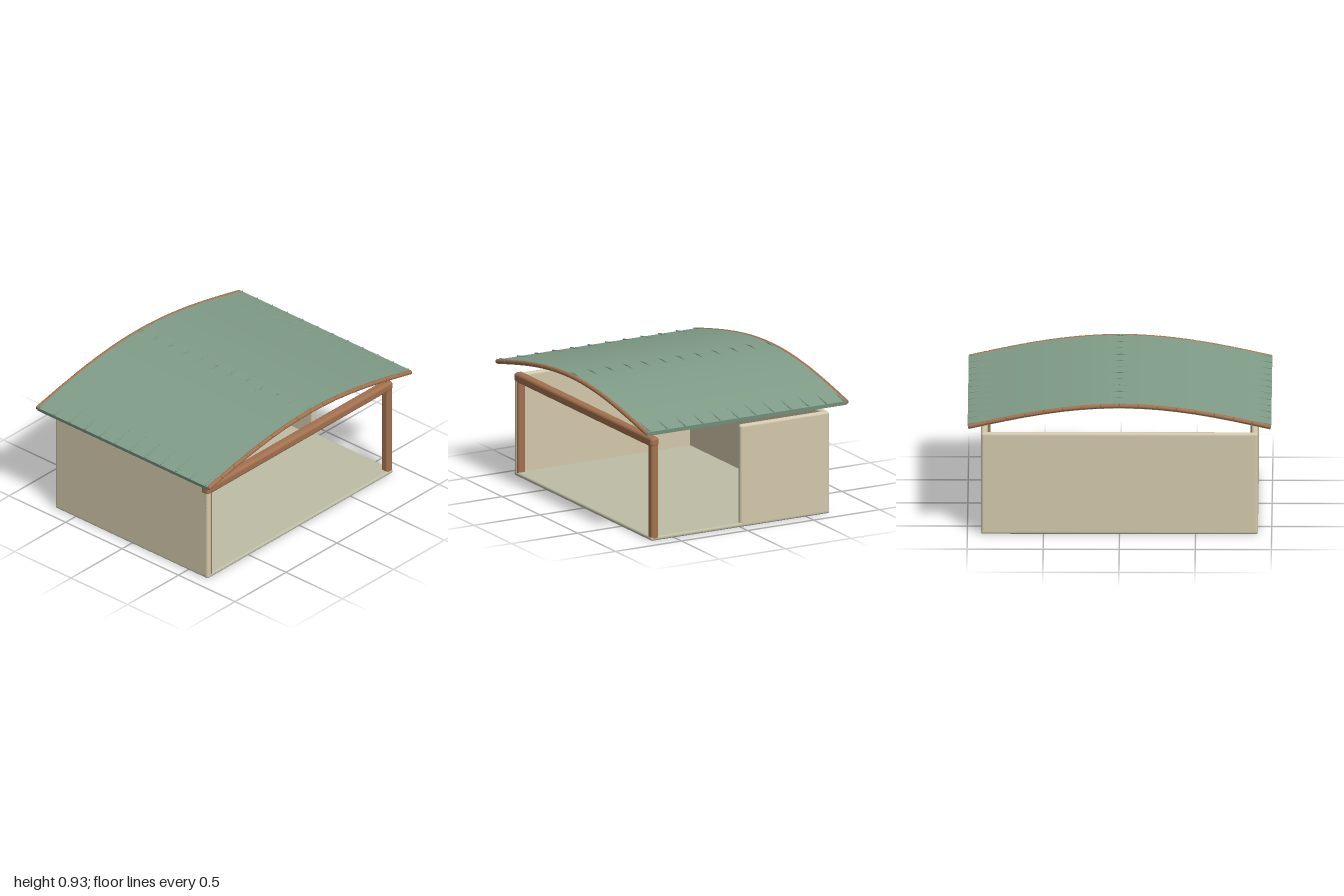
import * as THREE from 'three';
import { RoundedBoxGeometry } from 'three/addons/geometries/RoundedBoxGeometry.js';

const mat = (color) => new THREE.MeshStandardMaterial({ color });

// Height of the roof's arched centre line at x
const arch = (x) => 0.766 + 0.145 * Math.cos((Math.PI * x) / 2);
const ROOF_T = 0.028;

export function createModel() {
  const group = new THREE.Group();
  const plaster = mat(0xd3c8ab), floorMat = mat(0xbdbca6), wood = mat(0xa3714f), green = mat(0x809d88);

  const add = (name, geometry, material) => {
    const mesh = new THREE.Mesh(geometry, material);
    mesh.name = name;
    group.add(mesh);
    return mesh;
  };
  // Rounded box given by its min and max corners
  const block = (name, material, [x0, y0, z0], [x1, y1, z1], radius) =>
    add(name, new RoundedBoxGeometry(x1 - x0, y1 - y0, z1 - z0, 3, radius), material)
      .position.set((x0 + x1) / 2, (y0 + y1) / 2, (z0 + z1) / 2);

  // Floor and walls: full back and right side, half of the left side
  block('floor', floorMat, [-0.91, 0.003, -0.675], [0.91, 0.03, 0.677], 0.012);
  block('backWall', plaster, [-0.91, 0.004, -0.675], [0.91, 0.7, -0.633], 0.018);
  block('rightWall', plaster, [-0.91, 0.004, -0.675], [-0.868, 0.7, 0.677], 0.018);
  block('leftWall', plaster, [0.868, 0.004, -0.675], [0.91, 0.7, 0], 0.018);

  // Front timber frame
  for (const s of [-1, 1]) {
    block(s < 0 ? 'rightPost' : 'leftPost', wood,
      [s * 0.8825 - 0.0275, 0.004, 0.618], [s * 0.8825 + 0.0275, 0.69, 0.674], 0.016);
  }
  block('frontBeam', wood, [-0.912, 0.642, 0.615], [0.912, 0.707, 0.679], 0.02);

  // Arched roof sheet, extruded along z
  const upper = [], lower = [];
  const N = 32;
  for (let i = 0; i <= N; i++) {
    const x = -0.995 + (1.99 * i) / N;
    const slope = -0.145 * (Math.PI / 2) * Math.sin((Math.PI * x) / 2);
    const n = new THREE.Vector2(-slope, 1).normalize().multiplyScalar(ROOF_T / 2);
    upper.push(new THREE.Vector2(x + n.x, arch(x) + n.y));
    lower.unshift(new THREE.Vector2(x - n.x, arch(x) - n.y));
  }
  const sheet = new THREE.ExtrudeGeometry(new THREE.Shape([...upper, ...lower]),
    { depth: 1.51, bevelEnabled: false });
  sheet.translate(0, 0, -0.755);
  add('roof', sheet, green);

  // Segmented wooden trim along both gable edges
  const SEG = 16;
  for (const z of [-0.757, 0.757]) {
    const trim = new THREE.Group();
    trim.name = z > 0 ? 'frontTrim' : 'backTrim';
    for (let i = 0; i < SEG; i++) {
      const xa = -0.995 + (1.99 * i) / SEG, xb = xa + 1.99 / SEG;
      const a = new THREE.Vector2(xa, arch(xa) + 0.004), b = new THREE.Vector2(xb, arch(xb) + 0.004);
      const h = a.distanceTo(b) / 2, r = 0.0145;
      const profile = [[0, -h], [r * 0.75, -h], [r, -h + 0.005], [r, h - 0.005], [r * 0.75, h], [0, h]]
        .map(([px, py]) => new THREE.Vector2(px, py));
      const piece = new THREE.Mesh(new THREE.LatheGeometry(profile, 12), wood);
      piece.name = 'trimPiece';
      piece.position.set((a.x + b.x) / 2, (a.y + b.y) / 2, z);
      piece.rotation.z = Math.atan2(b.y - a.y, b.x - a.x) - Math.PI / 2;
      trim.add(piece);
    }
    group.add(trim);
  }

  // Thin ribs that rise out of the sheet at the eaves and the crown
  const ribs = new THREE.Group();
  ribs.name = 'roofRibs';
  const rib = (xLow, xHigh, z) => {
    const top = ROOF_T / 2;
    const a = new THREE.Vector2(xLow, arch(xLow) + top - 0.005);
    const b = new THREE.Vector2(xHigh, arch(xHigh) + top + 0.004);
    const mesh = new THREE.Mesh(new THREE.CylinderGeometry(0.005, 0.005, a.distanceTo(b), 8), green);
    mesh.name = 'rib';
    mesh.position.set((a.x + b.x) / 2, (a.y + b.y) / 2, z);
    mesh.rotation.z = Math.atan2(b.y - a.y, b.x - a.x) - Math.PI / 2;
    ribs.add(mesh);
  };
  for (let i = 0; i < 12; i++) {
    const z = -0.735 + (1.47 * i) / 11;
    for (const s of [-1, 1]) {
      rib(s * 0.81, s * 0.995, z);
      rib(s * 0.09, 0, z);
    }
  }
  group.add(ribs);
  return group;
}
